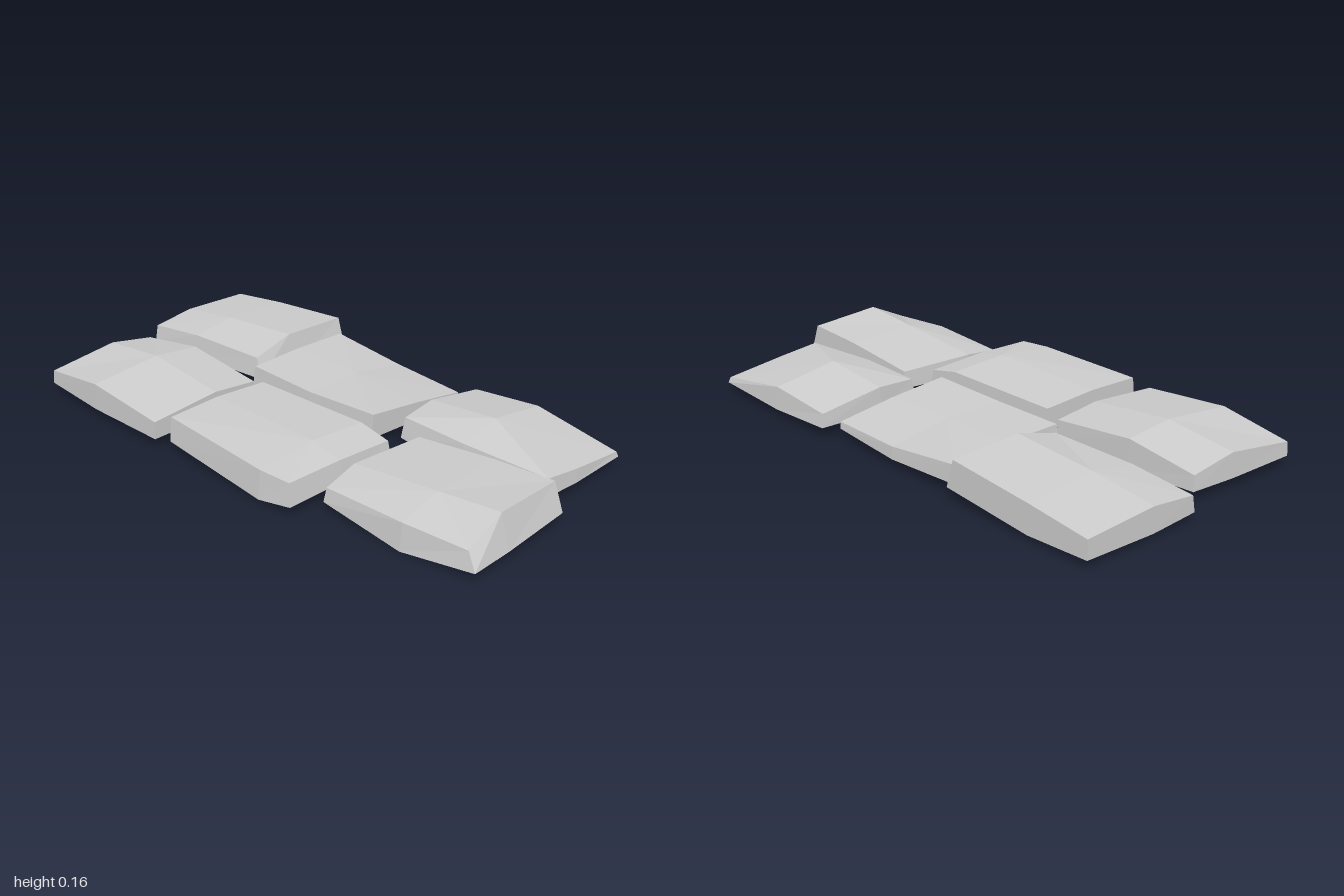
import * as THREE from 'three';

const material = new THREE.MeshStandardMaterial({ color: 0xcccccc, flatShading: true, side: THREE.DoubleSide });

// One rough slab: a faceted 3x3 top with an uneven skirt, open underneath.
// corners: back-left, back-right, front-right, front-left as [x, z]
// bulge:   outward push of the back, right, front and left edge middles
// inset:   how far the top edge steps in from the skirt on those four sides
// peak:    where the middle column and row sit (0..1)
// top:     heights in rows from back to front, each left to right
// base:    skirt heights around the rim, clockwise from the back-left corner
function slab({ name, corners, bulge, inset, peak, top, base }) {
  const [bl, br, fr, fl] = corners;
  const stepsU = [0, peak[0], 1], stepsV = [0, peak[1], 1];
  const point = (i, j, y, step) => {
    const u = stepsU[i], v = stepsV[j];
    const mix = k => (bl[k] * (1 - u) + br[k] * u) * (1 - v) + (fl[k] * (1 - u) + fr[k] * u) * v;
    let x = mix(0), z = mix(1);
    if (i === 1 && j === 0) z -= bulge[0];
    if (i === 2 && j === 1) x += bulge[1];
    if (i === 1 && j === 2) z += bulge[2];
    if (i === 0 && j === 1) x -= bulge[3];
    if (step) {
      if (j === 0) z += inset[0];
      if (i === 2) x -= inset[1];
      if (j === 2) z -= inset[2];
      if (i === 0) x += inset[3];
    }
    return [x, y, z];
  };
  const rim = [[0, 0], [1, 0], [2, 0], [2, 1], [2, 2], [1, 2], [0, 2], [0, 1]];
  const upper = rim.map(([i, j]) => point(i, j, top[j][i], true));
  const lower = rim.map(([i, j], k) => point(i, j, base[k], false));
  const centre = point(1, 1, top[1][1], true);
  const positions = [];
  for (let k = 0; k < 8; k++) {
    const n = (k + 1) % 8;
    // top facet, then the two triangles of the skirt
    positions.push(...centre, ...upper[n], ...upper[k]);
    positions.push(...upper[k], ...upper[n], ...lower[n]);
    positions.push(...upper[k], ...lower[n], ...lower[k]);
  }
  const geometry = new THREE.BufferGeometry();
  geometry.setAttribute('position', new THREE.Float32BufferAttribute(positions, 3));
  geometry.computeVertexNormals();
  const mesh = new THREE.Mesh(geometry, material);
  mesh.name = name;
  return mesh;
}

export function createModel() {
  const group = new THREE.Group();
  group.name = 'pavingStones';

  group.add(slab({
    name: 'backRightStone',
    corners: [[-0.485, -0.945], [-0.035, -0.92], [-0.04, -0.32], [-0.51, -0.325]],
    bulge: [0, 0.005, 0, 0.005], inset: [0.003, 0.004, 0, 0.002], peak: [0.6, 0.45],
    top: [[0.09, 0.125, 0.095], [0.13, 0.155, 0.135], [0.1, 0.12, 0.1]],
    base: [0.04, 0.035, 0.04, 0.03, 0.04, 0.035, 0.035, 0.03],
  }));
  group.add(slab({
    name: 'backLeftStone',
    corners: [[0.055, -1], [0.52, -0.998], [0.518, -0.395], [0.065, -0.4]],
    bulge: [0, 0.002, 0, 0], inset: [0, 0, 0.03, 0.012], peak: [0.4, 0.4],
    top: [[0.09, 0.11, 0.097], [0.115, 0.14, 0.125], [0.12, 0.165, 0.152]],
    base: [0.03, 0.02, 0.03, 0.02, 0.05, 0.04, 0.045, 0.03],
  }));
  group.add(slab({
    name: 'middleRightStone',
    corners: [[-0.49, -0.268], [-0.05, -0.26], [-0.05, 0.355], [-0.515, 0.34]],
    bulge: [0.002, 0.002, 0.003, 0.015], inset: [0, 0.004, 0.012, 0.01], peak: [0.5, 0.78],
    top: [[0.13, 0.135, 0.12], [0.12, 0.14, 0.125], [0.115, 0.115, 0.1]],
    base: [0.04, 0.035, 0.04, 0.035, 0.035, 0.04, 0.035, 0.015],
  }));
  group.add(slab({
    name: 'middleLeftStone',
    corners: [[0.015, -0.387], [0.482, -0.387], [0.462, 0.232], [0.012, 0.212]],
    bulge: [0.002, 0.01, 0.002, 0.008], inset: [0.008, 0.003, 0, 0.006], peak: [0.5, 0.5],
    top: [[0.12, 0.12, 0.11], [0.115, 0.115, 0.075], [0.125, 0.1, 0.065]],
    base: [0.045, 0.035, 0.045, 0.03, 0.04, 0.03, 0.035, 0.03],
  }));
  group.add(slab({
    name: 'frontRightStone',
    corners: [[-0.415, 0.39], [0.042, 0.395], [0.04, 0.985], [-0.408, 0.993]],
    bulge: [0.022, 0, 0.006, 0.018], inset: [0.005, 0.003, 0.035, 0.01], peak: [0.35, 0.55],
    top: [[0.085, 0.105, 0.1], [0.1, 0.14, 0.135], [0.095, 0.163, 0.147]],
    base: [0.035, 0.03, 0.035, 0.025, 0.045, 0.04, 0.035, 0.002],
  }));
  group.add(slab({
    name: 'frontLeftStone',
    corners: [[0.08, 0.285], [0.5, 0.285], [0.492, 0.897], [0.082, 0.89]],
    bulge: [0.01, 0.005, 0.005, 0.015], inset: [0.005, 0.008, 0.004, 0.015], peak: [0.4, 0.45],
    top: [[0.115, 0.125, 0.085], [0.115, 0.15, 0.11], [0.105, 0.085, 0.055]],
    base: [0.04, 0.035, 0.035, 0.025, 0.035, 0.035, 0.04, 0.012],
  }));
  return group;
}
